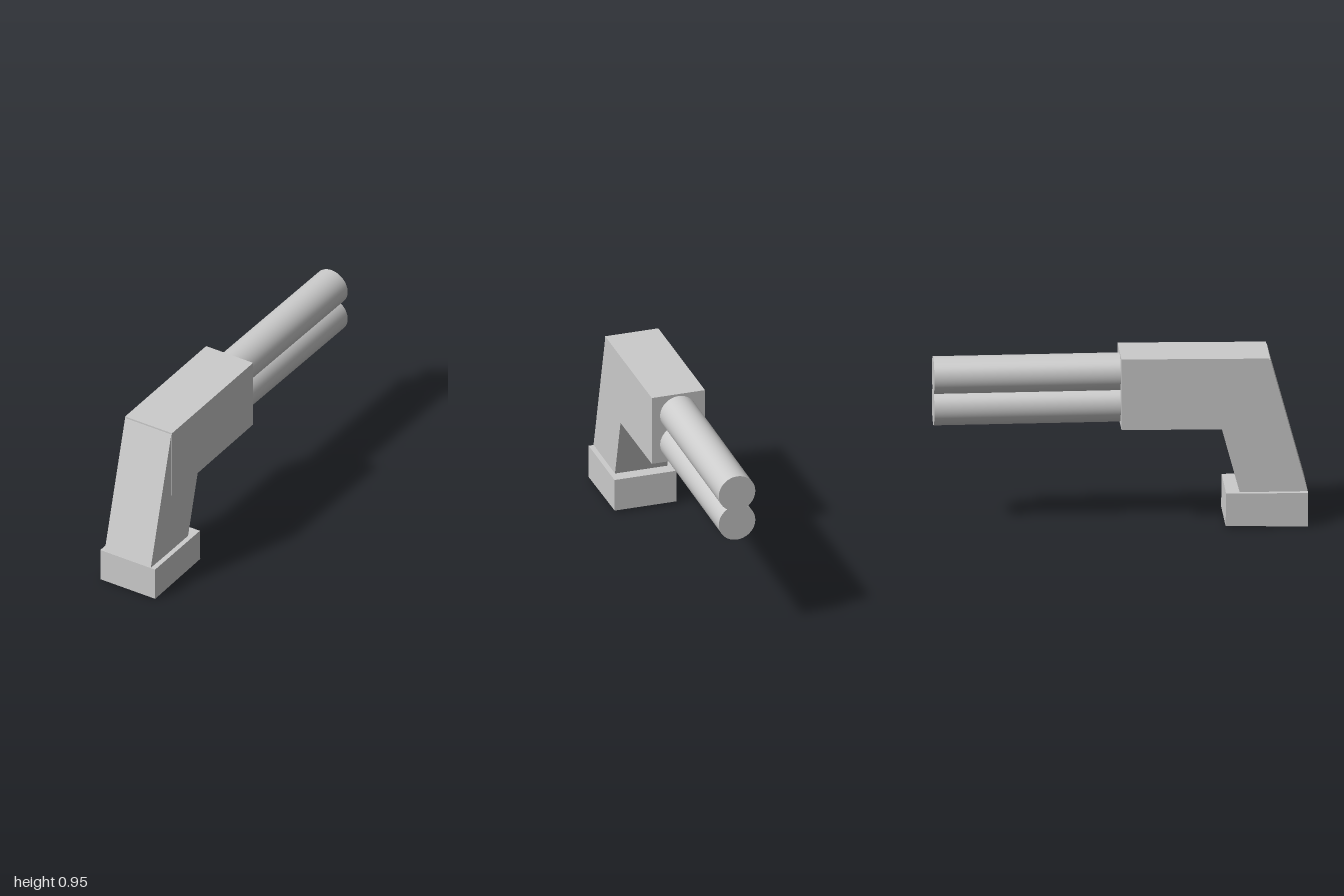
import * as THREE from 'three';

const material = new THREE.MeshStandardMaterial({ color: 0xcccccc });

// Side profile given as [z, y] points, extruded across x and centred
function slab(name, profile, width) {
  const shape = new THREE.Shape(profile.map(([z, y]) => new THREE.Vector2(z, y)));
  const geometry = new THREE.ExtrudeGeometry(shape, { depth: width, bevelEnabled: false });
  geometry.translate(0, 0, -width / 2).rotateY(-Math.PI / 2);
  const mesh = new THREE.Mesh(geometry, material);
  mesh.name = name;
  return mesh;
}

export function createModel() {
  const model = new THREE.Group();
  model.name = 'doubleBarrelPistol';

  // Body blocks, each very slightly tilted
  model.add(
    slab('receiver', [[0, 0.557], [0.795, 0.541], [0.795, 0.94], [0, 0.952]], 0.3),
    slab('grip', [[0.635, 0.19], [1, 0.19], [0.8, 0.93], [0.436, 0.93]], 0.295),
    slab('gripBase', [[0.557, 0.012], [0.999, 0], [1, 0.188], [0.56, 0.194]], 0.35)
  );

  // Two stacked, overlapping barrels pointing backwards
  const barrels = new THREE.Group();
  barrels.name = 'barrels';
  const radius = 0.103, length = 1.02;
  [['upperBarrel', 0.837], ['lowerBarrel', 0.664]].forEach(([name, y]) => {
    const geometry = new THREE.CylinderGeometry(radius, radius, length, 48).rotateX(Math.PI / 2);
    const barrel = new THREE.Mesh(geometry, material);
    barrel.name = name;
    barrel.position.set(0, y, -1 + length / 2);
    barrels.add(barrel);
  });
  model.add(barrels);

  return model;
}
